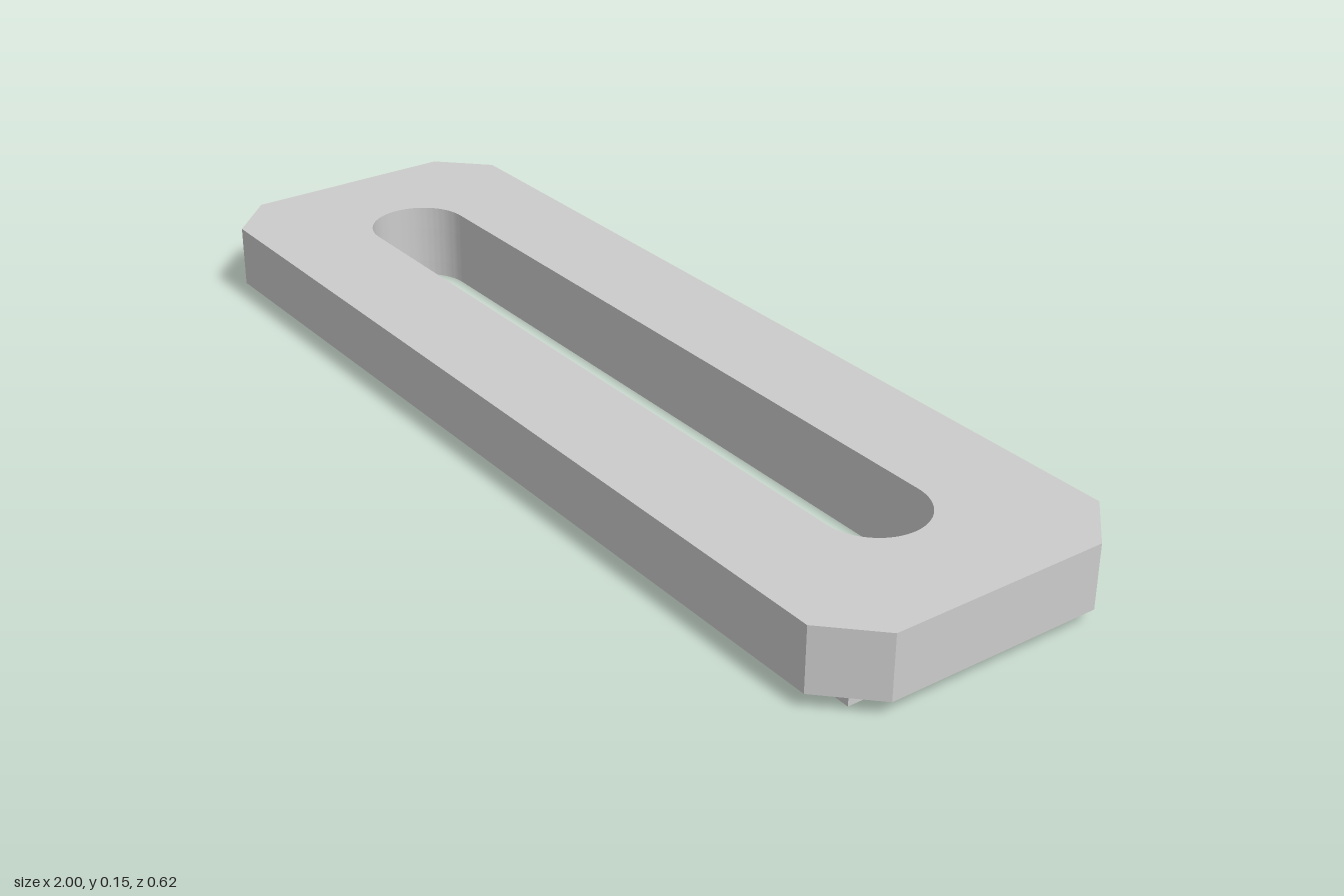
import * as THREE from 'three';
import { toCreasedNormals } from 'three/addons/utils/BufferGeometryUtils.js';

const HX = 1, HZ = 0.308, CUT = 0.093;   // plate half sizes and corner chamfer
const STEP_X = 0.938, STEP_Z = 0.246;    // stepped-in half sizes
const SLOT_X = 0.705, SLOT_R = 0.098;    // slot arc centres and radius

const material = new THREE.MeshStandardMaterial({ color: 0xcccccc });

// One slotted layer: outline in (x, z), between two heights
function layer(name, outline, bottom, top) {
  const shape = new THREE.Shape(outline.map(([x, z]) => new THREE.Vector2(x, z)));
  const slot = new THREE.Path();
  slot.absarc(SLOT_X, 0, SLOT_R, -Math.PI / 2, Math.PI / 2, false);
  slot.absarc(-SLOT_X, 0, SLOT_R, Math.PI / 2, Math.PI * 1.5, false);
  slot.closePath();
  shape.holes.push(slot);
  const geometry = new THREE.ExtrudeGeometry(shape, {
    depth: top - bottom, bevelEnabled: false, curveSegments: 24,
  });
  geometry.rotateX(Math.PI / 2).translate(0, top, 0);
  const mesh = new THREE.Mesh(toCreasedNormals(geometry, Math.PI / 6), material);
  mesh.name = name;
  return mesh;
}

export function createModel() {
  const group = new THREE.Group();
  group.name = 'slottedPlate';
  const cx = HX - CUT, cz = HZ - CUT;
  const diagonal = HX + cz;              // x + z along a chamfer

  // Full chamfered plate on top
  const full = [[-cx, -HZ], [cx, -HZ], [HX, -cz], [HX, cz], [cx, HZ], [-cx, HZ], [-HX, cz], [-HX, -cz]];
  // Middle layer, rebated along the back and the -x end
  const rebated = [[-STEP_X, -STEP_Z], [diagonal - STEP_Z, -STEP_Z], [HX, -cz], [HX, cz],
    [cx, HZ], [-cx, HZ], [-STEP_X, diagonal - STEP_X]];
  // Plain rectangular foot
  const foot = [[-STEP_X, -STEP_Z], [STEP_X, -STEP_Z], [STEP_X, STEP_Z], [-STEP_X, STEP_Z]];

  group.add(
    layer('topFlange', full, 0.108, 0.154),
    layer('rebatedBody', rebated, 0.031, 0.108),
    layer('foot', foot, 0, 0.031),
  );
  return group;
}
